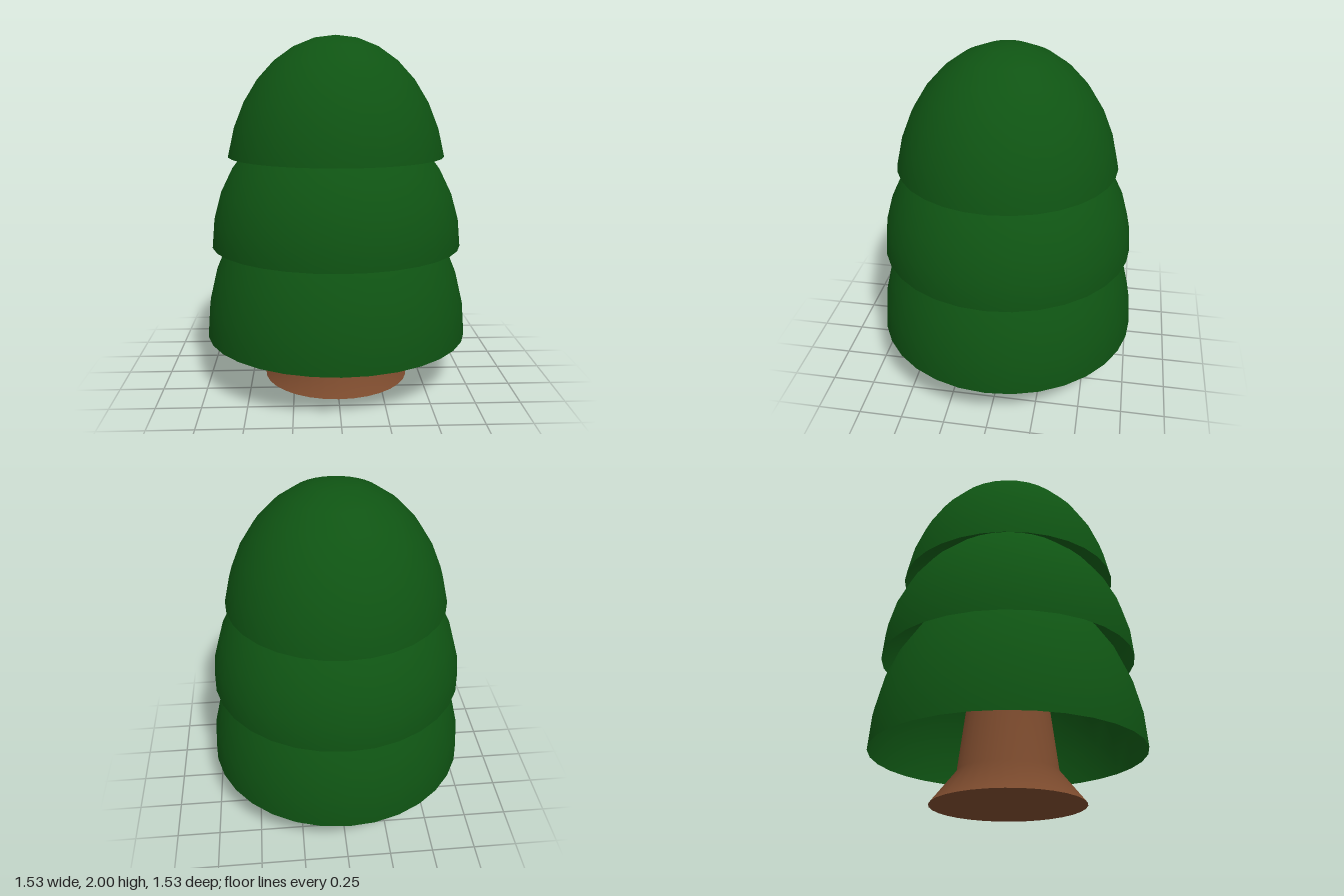
import * as THREE from 'three';

const SIDES = 32;
const RING = Math.PI / 16; // angle between the rings of a dome

export function createModel() {
  const tree = new THREE.Group();
  tree.name = 'tree';

  const leaves = new THREE.MeshStandardMaterial({ color: 0x0f5413, side: THREE.DoubleSide });
  const bark = new THREE.MeshStandardMaterial({ color: 0x7b4a2d });

  // Open, hollow foliage domes: sphere centre height, radius, half height, rings
  const tiers = [
    ['lowerFoliage', 0.275, 0.763, 0.97, 8],
    ['middleFoliage', 0.805, 0.724, 0.79, 8],
    ['upperFoliage', 1.155, 0.635, 0.845, 7],
  ];
  for (const [name, y, radius, height, rings] of tiers) {
    const dome = new THREE.SphereGeometry(1, SIDES, rings, 0, Math.PI * 2, 0, rings * RING);
    dome.scale(radius, height, radius);
    const mesh = new THREE.Mesh(dome, leaves);
    mesh.name = name;
    mesh.position.y = y;
    tree.add(mesh);
  }

  // Trunk: flared foot, then a slow taper up inside the foliage
  const profile = [[0.425, 0], [0.28, 0.18], [0.165, 1.1]];
  const trunk = new THREE.Mesh(
    new THREE.LatheGeometry(profile.map(([r, y]) => new THREE.Vector2(r, y)), SIDES), bark);
  trunk.name = 'trunk';
  tree.add(trunk);

  // Flat closing discs of the trunk
  const addCap = (name, radius, y, turn) => {
    const cap = new THREE.Mesh(new THREE.CircleGeometry(radius, SIDES), bark);
    cap.name = name;
    cap.position.y = y;
    cap.rotation.x = turn;
    tree.add(cap);
  };
  addCap('trunkBase', 0.425, 0, Math.PI / 2);
  addCap('trunkTop', 0.165, 1.1, -Math.PI / 2);

  return tree;
}
